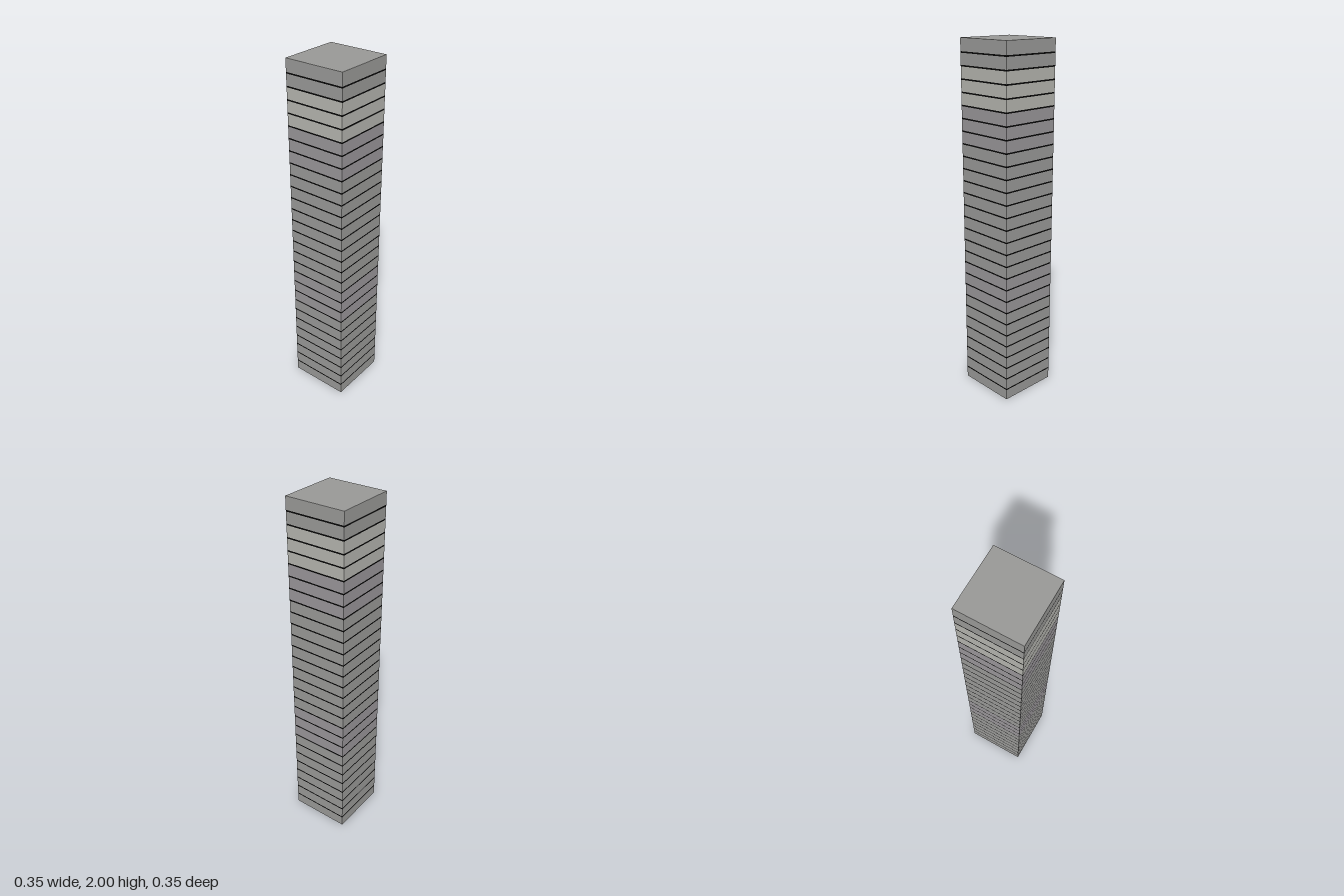
import * as THREE from 'three';

const HALF = 0.174, HEIGHT = 2, FLOORS = 29, JOINT = 0.008;

function material(color) {
  return new THREE.MeshStandardMaterial({ color, flatShading: true, side: THREE.DoubleSide });
}

// Open square ring of thin walls between two heights
function ring(name, bottom, top, mat) {
  const geometry = new THREE.CylinderGeometry(HALF * Math.SQRT2, HALF * Math.SQRT2, top - bottom, 4, 1, true);
  geometry.rotateY(Math.PI / 4);
  const mesh = new THREE.Mesh(geometry, mat);
  mesh.name = name;
  mesh.position.y = (bottom + top) / 2;
  return mesh;
}

export function createModel() {
  const tower = new THREE.Group();
  tower.name = 'tower';

  const wall = material(0x989896);
  const paleWall = material(0xb3b3ad);
  const warmWall = material(0x989598);
  const black = material(0x050505);
  const pitch = HEIGHT / FLOORS;

  // Storeys, each capped by a dark joint except the last
  for (let i = 0; i < FLOORS; i++) {
    const last = i === FLOORS - 1;
    const bottom = i * pitch;
    const top = bottom + pitch;
    const split = last ? top : top - JOINT;
    const pale = i >= 24 && i <= 26;
    const warm = (i >= 21 && i <= 23) || (i >= 8 && i <= 10);
    tower.add(ring(`storey${i + 1}`, bottom, split, pale ? paleWall : warm ? warmWall : wall));
    if (!last) tower.add(ring(`joint${i + 1}`, split, top, black));
  }

  // Flat roof closing the top; the base stays open
  const roof = new THREE.Mesh(new THREE.PlaneGeometry(HALF * 2, HALF * 2).rotateX(-Math.PI / 2), wall);
  roof.name = 'roof';
  roof.position.y = HEIGHT;
  tower.add(roof);

  return tower;
}
